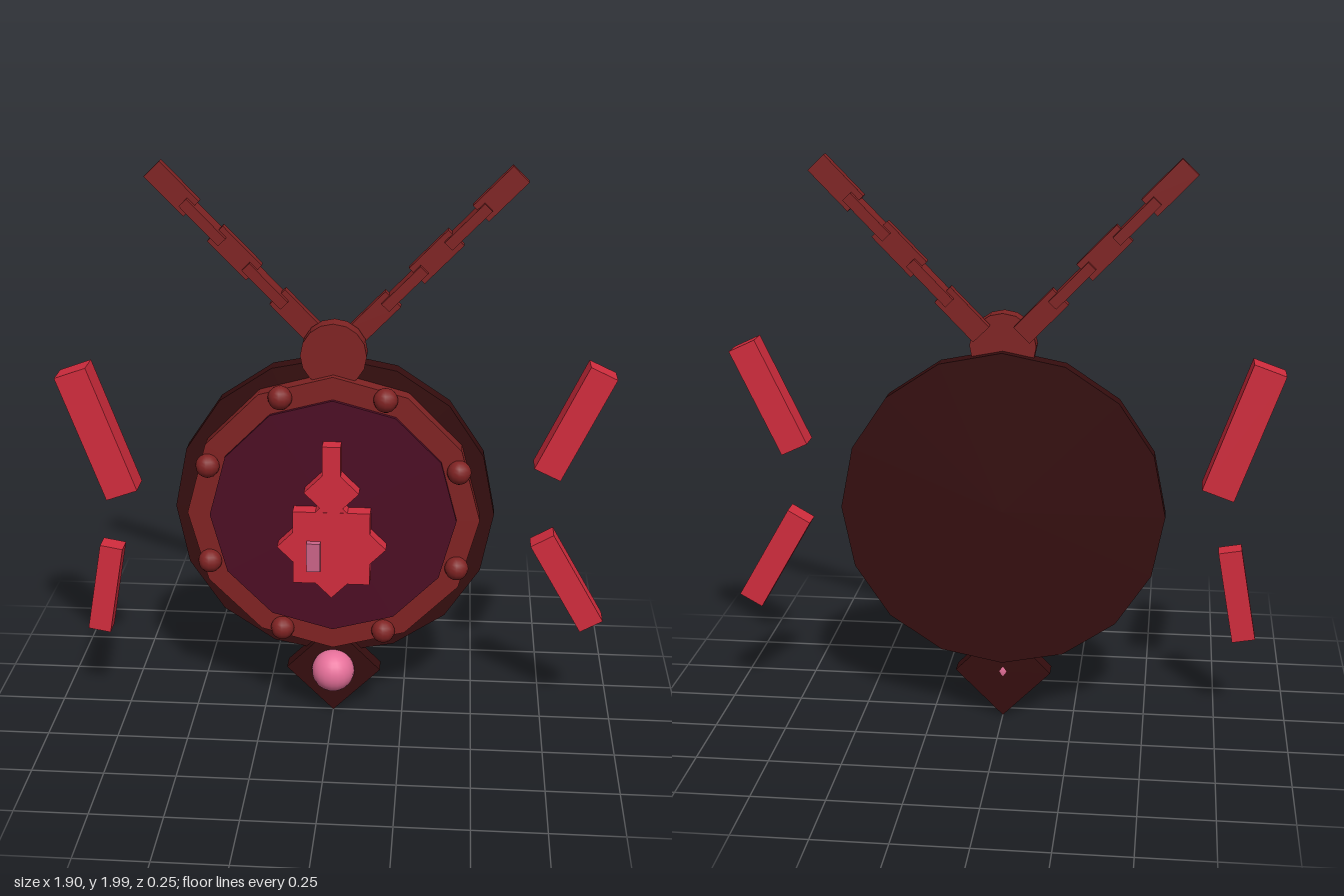
import * as THREE from 'three';

const mat = (name, color) => {
  const m = new THREE.MeshStandardMaterial({ color });
  m.name = name;
  return m;
};

export function createModel() {
  const dark = mat('darkMaroon', 0x350d0e);
  const rust = mat('rustRed', 0x802323);
  const plum = mat('deepPlum', 0x4d0d24);
  const crimson = mat('crimson', 0xd22c3d);
  const pink = mat('pink', 0xe6709a);
  const glint = mat('palePink', 0xcb6488);

  const model = new THREE.Group();
  const add = (name, geometry, material, x, y, z, rot = 0) => {
    const mesh = new THREE.Mesh(geometry, material);
    mesh.name = name;
    mesh.position.set(x, y, z);
    mesh.rotation.z = rot;
    model.add(mesh);
    return mesh;
  };
  // Box spanning z0..z1, turned about z
  const slab = (name, material, x, y, w, h, z0, z1, rot = 0) =>
    add(name, new THREE.BoxGeometry(w, h, z1 - z0), material, x, y, (z0 + z1) / 2, rot);
  // Disc facing the front, spanning z0..z1
  const disc = (name, material, y, r, sides, z0, z1) =>
    add(name, new THREE.CylinderGeometry(r, r, z1 - z0, sides).rotateX(Math.PI / 2),
      material, 0, y, (z0 + z1) / 2);

  const cy = 0.786;
  const quarter = Math.PI / 4;

  // Medallion: backing, rim and inset face
  disc('backing', dark, cy, 0.56, 16, -0.095, -0.03);
  disc('rim', rust, cy, 0.51, 12, -0.03, 0.03);
  disc('face', plum, cy, 0.43, 12, 0.025, 0.045);

  // Rim studs
  const studGeometry = new THREE.SphereGeometry(0.042, 12, 10);
  for (let i = 0; i < 8; i++) {
    const a = (i + 0.5) * quarter;
    add('stud', studGeometry, rust, 0.47 * Math.cos(a), cy + 0.47 * Math.sin(a), 0.036);
  }

  // Emblem: eight-pointed body, small diamond and top bar
  slab('emblemBody', crimson, 0, 0.695, 0.268, 0.268, 0.04, 0.1);
  slab('emblemPoints', crimson, 0, 0.695, 0.268, 0.268, 0.04, 0.099, quarter);
  slab('emblemDiamond', crimson, 0, 0.9, 0.134, 0.134, 0.04, 0.099, quarter);
  slab('emblemBar', crimson, 0, 0.98, 0.063, 0.18, 0.04, 0.1);
  slab('emblemGlint', glint, -0.061, 0.668, 0.048, 0.105, 0.09, 0.125);

  // Drop below the medallion
  slab('dropPlate', dark, 0, 0.177, 0.238, 0.238, -0.06, 0.004, quarter);
  add('dropPearl', new THREE.SphereGeometry(0.077, 20, 16), pink, 0, 0.177, 0.015);

  // Bail and the two chains, flat links alternating with edge-on links
  disc('bail', rust, 1.362, 0.113, 16, -0.062, 0.004);
  for (const side of [-1, 1]) {
    for (let i = 0; i < 5; i++) {
      const flat = i % 2 === 0;
      const depth = flat ? 0.036 : 0.078;
      slab('chainLink', rust, side * (0.132 + 0.1035 * i), 1.477 + 0.1075 * i,
        flat ? 0.075 : 0.036, 0.185, -0.09 - depth / 2, -0.09 + depth / 2, -side * 0.77);
    }
  }

  // Floating shards: x, y, width, length, depth, tilt
  for (const [x, y, w, h, d, tilt] of [
    [-0.816, 1.074, 0.116, 0.472, 0.098, 0.345],
    [0.82, 1.153, 0.1, 0.405, 0.084, -0.44],
    [0.82, 0.561, 0.09, 0.372, 0.076, 0.522],
    [-0.815, 0.482, 0.081, 0.333, 0.07, -0.175],
  ]) slab('shard', crimson, x, y, w, h, 0.006 - d / 2, 0.006 + d / 2, tilt);

  return model;
}
